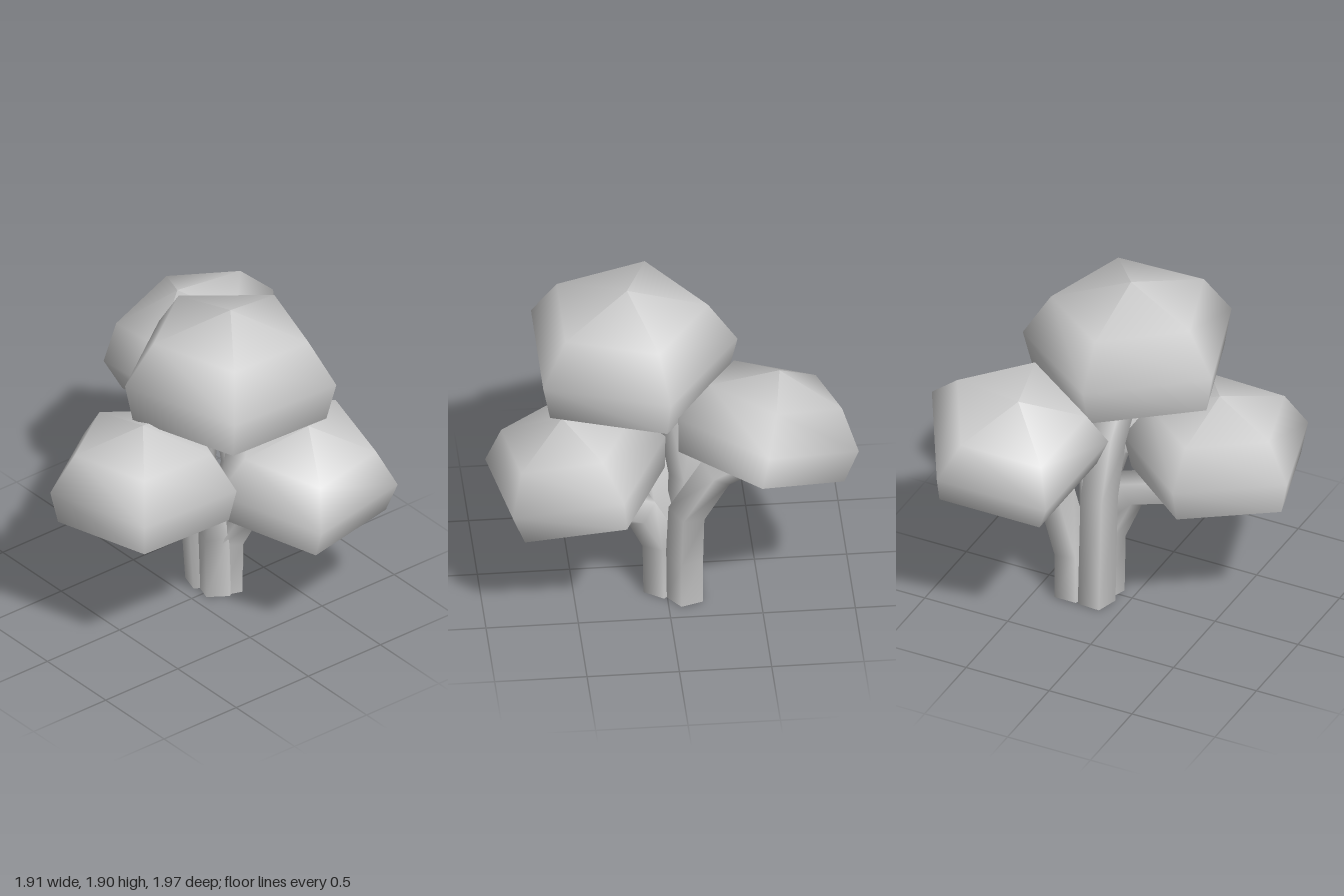
import * as THREE from 'three';

const grey = new THREE.MeshStandardMaterial({ color: 0xcccccc, side: THREE.DoubleSide });
const V = (p) => new THREE.Vector3(...p);

// Straight-segment path with one tube ring at each corner
class Bends extends THREE.Curve {
  constructor(points) {
    super();
    this.points = points.map(V);
  }
  getPointAt(t, target = new THREE.Vector3()) {
    const last = this.points.length - 1;
    const i = Math.min(Math.floor(t * last + 1e-6), last - 1);
    return target.lerpVectors(this.points[i], this.points[i + 1], t * last - i);
  }
  getPoint(t, target) {
    return this.getPointAt(t, target);
  }
  // Mitre direction at each corner
  getTangentAt(t, target = new THREE.Vector3()) {
    const p = this.points;
    const i = Math.round(t * (p.length - 1));
    target.set(0, 0, 0);
    if (i > 0) target.add(p[i].clone().sub(p[i - 1]).normalize());
    if (i < p.length - 1) target.add(p[i + 1].clone().sub(p[i]).normalize());
    return target.normalize();
  }
}

function makeBranch(name, points) {
  const path = new Bends(points);
  const mesh = new THREE.Mesh(new THREE.TubeGeometry(path, points.length - 1, 0.108, 5, false), grey);
  mesh.name = name;
  return mesh;
}

// Five-sided dome with a flat underside, leaning along "up"
function makeCanopy({ name, base, size, up, turn }) {
  const group = new THREE.Group();
  group.name = name;
  const angle = THREE.MathUtils.degToRad(turn);
  const profile = [[0.55, 0], [0.6, 0.22], [0.44, 0.46], [0, 0.585]]
    .map(([r, y]) => new THREE.Vector2(r, y));
  const dome = new THREE.Mesh(new THREE.LatheGeometry(profile, 5, Math.PI / 2 - angle), grey);
  dome.name = name + 'Dome';
  const under = new THREE.Mesh(new THREE.CircleGeometry(0.55, 5, angle).rotateX(Math.PI / 2), grey);
  under.name = name + 'Underside';
  group.add(dome, under);
  group.position.set(...base);
  group.scale.setScalar(size);
  group.quaternion.setFromUnitVectors(new THREE.Vector3(0, 1, 0), V(up).normalize());
  return group;
}

export function createModel() {
  const tree = new THREE.Group();
  tree.name = 'tree';

  // Leaf canopies
  const canopies = [
    { name: 'topCanopy', base: [0.09, 1.31, 0.2], size: 1, up: [0.03, 1, 0], turn: -90 },
    { name: 'rightCanopy', base: [-0.455, 0.84, 0.145], size: 0.88, up: [0, 1, 0], turn: -88 },
    { name: 'frontCanopy', base: [0.355, 0.745, 0.475], size: 0.87, up: [-0.02, 1, 0.2], turn: 45 },
    { name: 'backCanopy', base: [0.5, 1.03, -0.49], size: 0.87, up: [-0.235, 1, -0.227], turn: 6 },
  ];
  canopies.forEach((c) => tree.add(makeCanopy(c)));

  // Bundled stems, one to each canopy
  tree.add(
    makeBranch('topStem', [[0.17, 0, -0.1], [0.14, 0.7, -0.13], [0.12, 1.05, -0.07], [0.11, 1.36, 0.14]]),
    makeBranch('rightStem', [[0.17, 0, 0.01], [0.16, 0.38, 0.01], [0.03, 0.67, 0.04], [-0.32, 0.74, 0.12], [-0.46, 0.9, 0.15]]),
    makeBranch('frontStem', [[0.22, 0, 0.02], [0.22, 0.33, 0.03], [0.28, 0.57, 0.14], [0.33, 0.7, 0.46], [0.34, 0.82, 0.53]]),
    makeBranch('backStem', [[0.31, 0, -0.1], [0.31, 0.28, -0.1], [0.42, 0.65, -0.1], [0.47, 0.94, -0.25], [0.5, 1.1, -0.52]]),
  );
  return tree;
}
